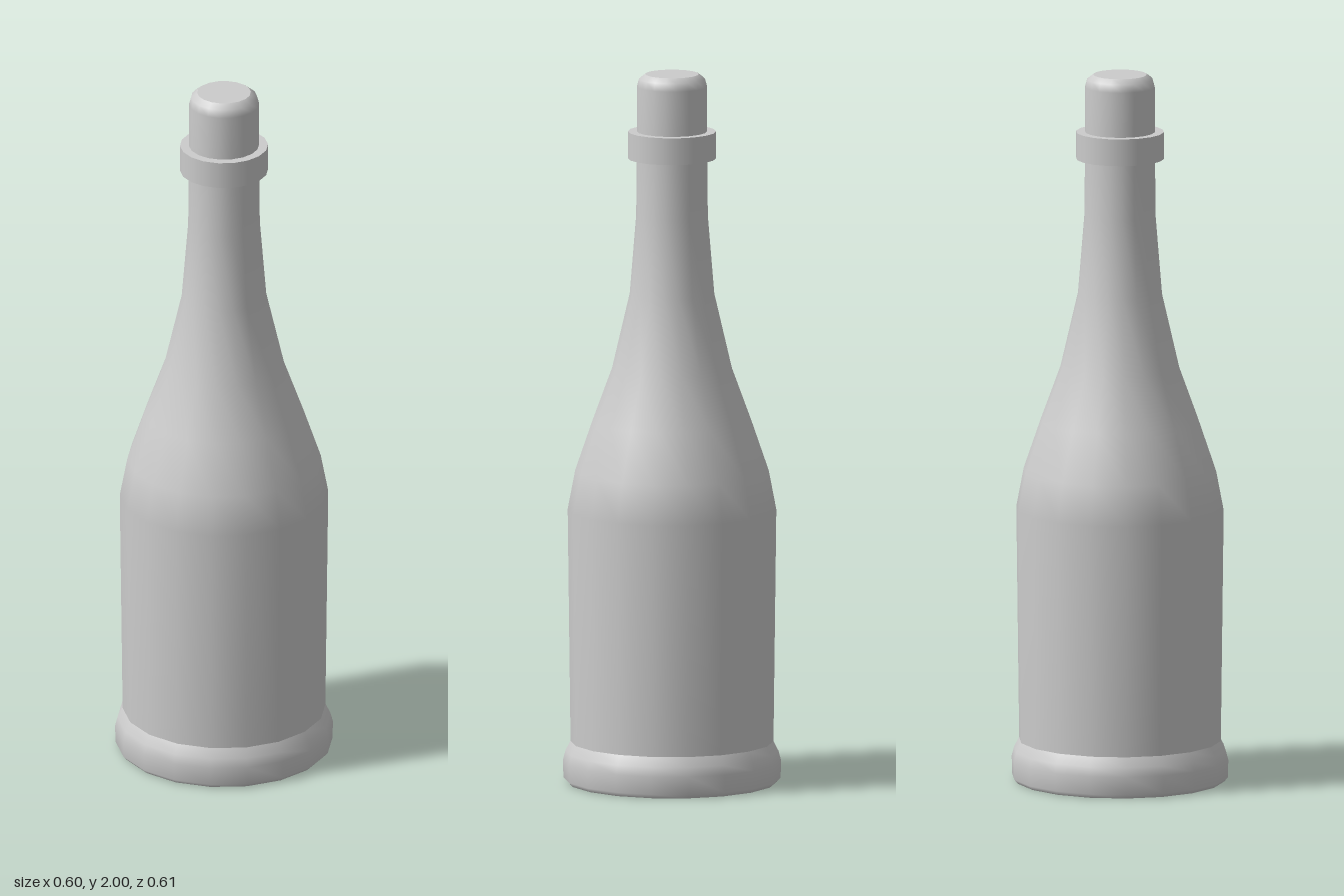
import * as THREE from 'three';

const SIDES = 18;

export function createModel() {
  const group = new THREE.Group();
  const material = new THREE.MeshStandardMaterial({ color: 0xcccccc });

  // Each strip is one smooth [radius, height] profile, listed so that its
  // outside faces out; the joins between strips stay sharp.
  function turned(name, ...strips) {
    const part = new THREE.Group();
    part.name = name;
    strips.forEach((strip) => {
      const points = strip.map(([r, y]) => new THREE.Vector2(r, y));
      part.add(new THREE.Mesh(new THREE.LatheGeometry(points, SIDES), material));
    });
    group.add(part);
  }

  // Flared foot with a flat underside and rounded upper lip
  turned('base',
    [[0, 0], [0.292, 0]],
    [[0.292, 0], [0.303, 0.012], [0.304, 0.062], [0.297, 0.088], [0.283, 0.115]]);

  // Body, shoulder and neck in one smooth sweep
  turned('body', [
    [0.283, 0.115], [0.291, 0.77], [0.27, 0.88], [0.222, 1.02],
    [0.167, 1.17], [0.118, 1.38], [0.1, 1.6], [0.098, 1.8],
  ]);

  // Raised square-edged ring round the neck
  turned('collar',
    [[0.095, 1.762], [0.123, 1.762]],
    [[0.123, 1.762], [0.123, 1.838]],
    [[0.123, 1.838], [0.095, 1.838]]);

  // Stopper with a rounded top edge
  turned('stopper',
    [[0.098, 1.8], [0.098, 1.965], [0.092, 1.987], [0.075, 2]],
    [[0.075, 2], [0, 2]]);

  return group;
}
